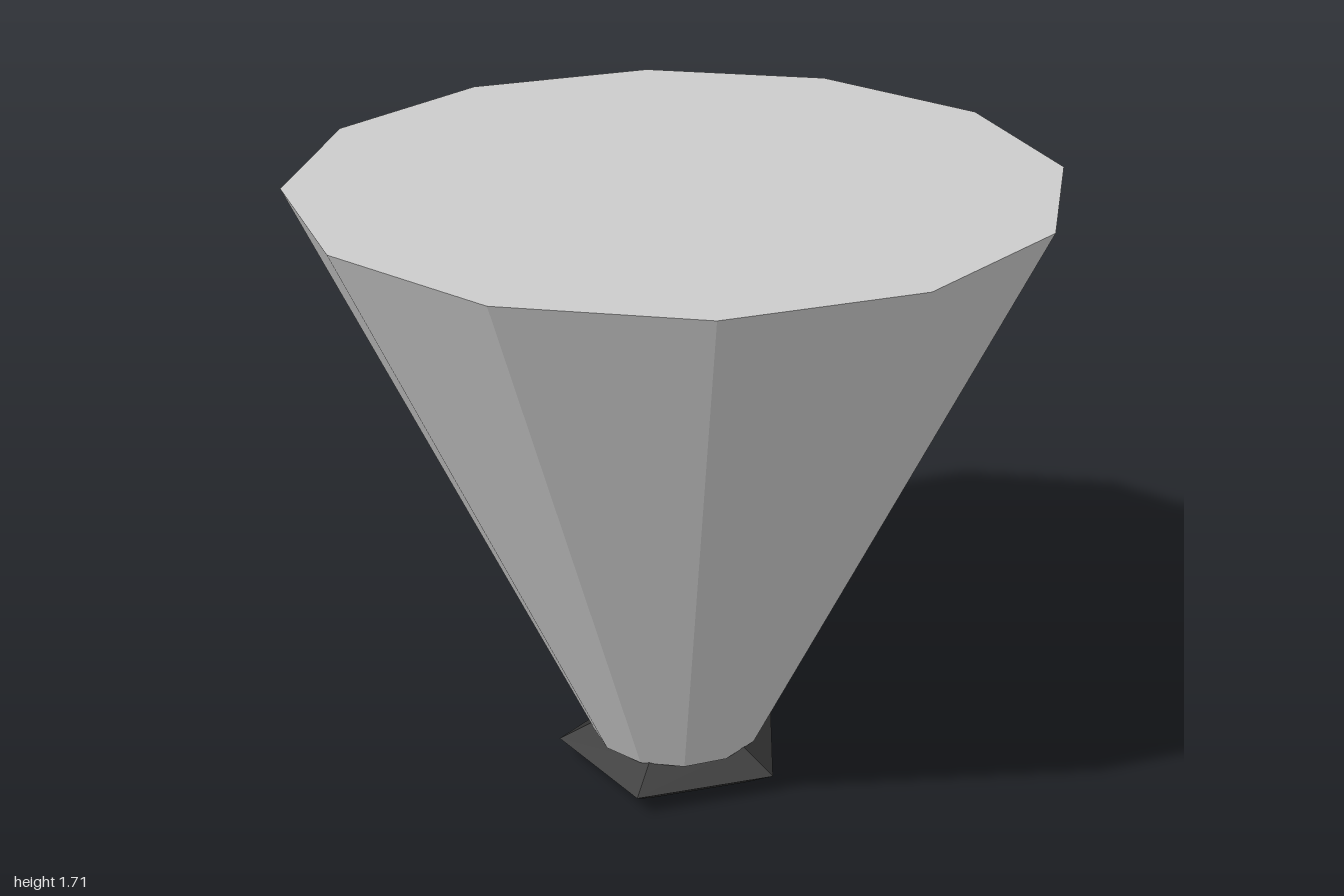
import * as THREE from 'three';

export function createModel() {
  const model = new THREE.Group();
  const addPart = (name, geometry, color, y) => {
    const material = new THREE.MeshStandardMaterial({ color, flatShading: true });
    const mesh = new THREE.Mesh(geometry, material);
    mesh.name = name;
    mesh.position.y = y;
    model.add(mesh);
  };

  // Flared twelve-sided cup, closed at both ends
  const bottom = 0.11, top = 1.71;
  addPart('cup', new THREE.CylinderGeometry(1, 0.235, top - bottom, 12), 0xcccccc, (bottom + top) / 2);

  // Five-sided foot ring with a triangular section, one corner towards +x
  const tube = 0.066;
  const ring = new THREE.TorusGeometry(0.264, tube, 3, 5).rotateX(Math.PI / 2);
  addPart('footRing', ring, 0x333333, tube * Math.sin(Math.PI / 3));

  return model;
}
